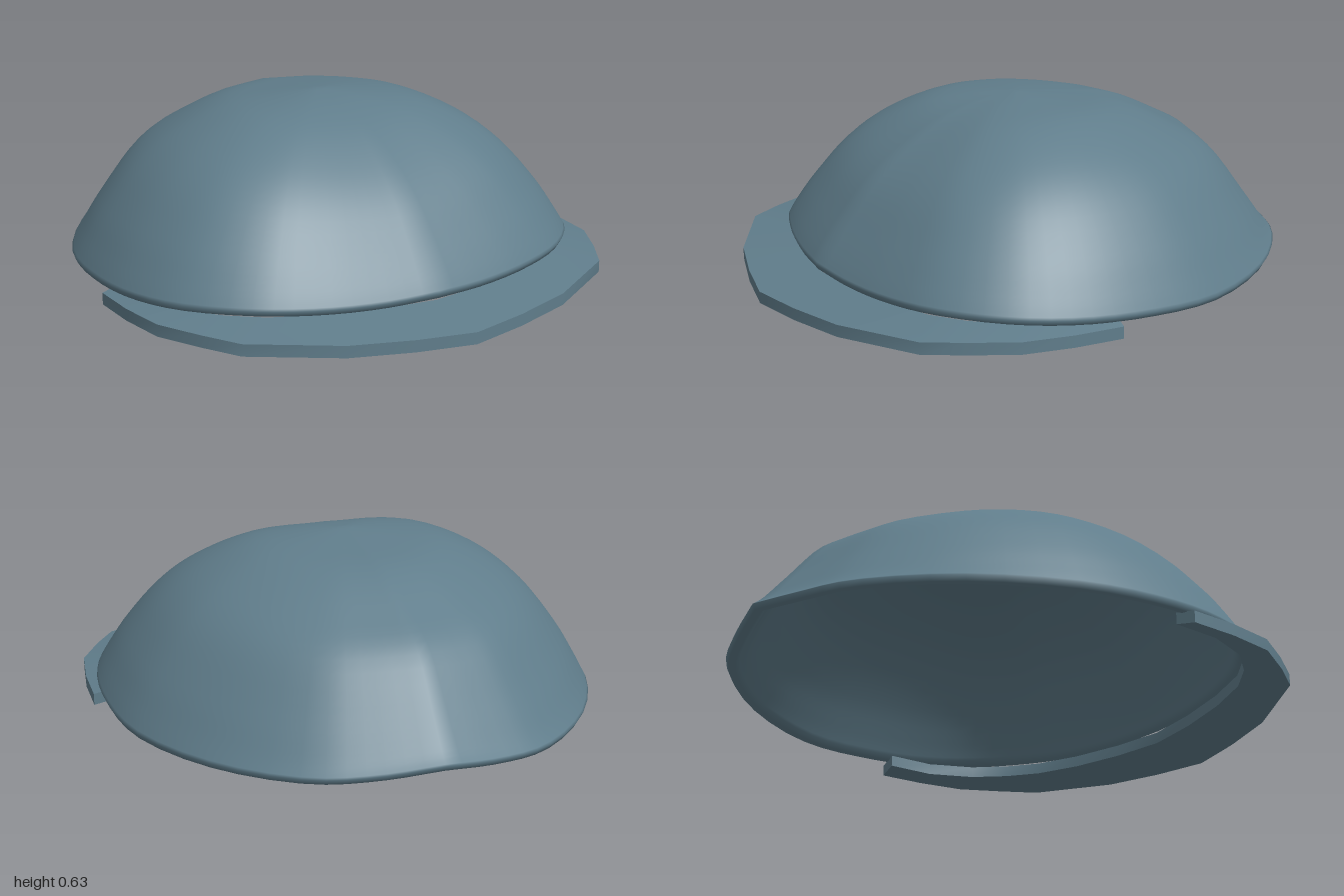
import * as THREE from 'three';
import { mergeVertices, toCreasedNormals } from 'three/addons/utils/BufferGeometryUtils.js';

const material = new THREE.MeshStandardMaterial({ color: 0x607d8b });

// Skins a grid of points; point(i, j) gives station i, section point j.
function loft(stations, points, point, closeI, closeJ, caps) {
  const pos = [], index = [];
  for (let i = 0; i < stations; i++)
    for (let j = 0; j < points; j++) pos.push(...point(i, j));
  const id = (i, j) => (i % stations) * points + (j % points);
  for (let i = 0; i < stations - (closeI ? 0 : 1); i++)
    for (let j = 0; j < points - (closeJ ? 0 : 1); j++) {
      const a = id(i, j), b = id(i + 1, j), c = id(i + 1, j + 1), d = id(i, j + 1);
      index.push(a, b, c, a, c, d);
    }
  if (caps) {
    const e = stations - 1;
    index.push(id(0, 0), id(0, 1), id(0, 2), id(0, 0), id(0, 2), id(0, 3));
    index.push(id(e, 0), id(e, 2), id(e, 1), id(e, 0), id(e, 3), id(e, 2));
  }
  const g = new THREE.BufferGeometry();
  g.setAttribute('position', new THREE.Float32BufferAttribute(pos, 3));
  g.setIndex(index);
  return g;
}

// Half of the shell rim, from back to front: x, y, z
const rim = new THREE.CatmullRomCurve3([
  [0, 0.115, -1], [0.2, 0.09, -0.955], [0.4, 0.075, -0.88], [0.66, 0.065, -0.64], [0.845, 0.065, -0.3],
  [0.89, 0.08, 0], [0.87, 0.095, 0.25], [0.79, 0.11, 0.46], [0.61, 0.115, 0.64],
  [0.41, 0.105, 0.72], [0.2, 0.1, 0.765], [0, 0.105, 0.79],
].map((p) => new THREE.Vector3(...p)));

// Relative dome height at each fraction of the radius, per direction
const radii = [0, 0.2, 0.4, 0.6, 0.75, 0.88, 0.96, 1];
const curveOf = (h) => new THREE.SplineCurve(radii.map((r, k) => new THREE.Vector2(r, h[k])));
const side = curveOf([1, 0.976, 0.927, 0.78, 0.59, 0.33, 0.12, 0]);
const front = curveOf([1, 0.96, 0.86, 0.68, 0.49, 0.255, 0.094, 0]);
const back = curveOf([1, 0.96, 0.9, 0.73, 0.56, 0.26, 0.07, 0]);

function buildShell() {
  const columns = 72, rows = 28, top = 0.633, wall = 0.035;
  const columnRim = [];
  for (let i = 0; i < columns; i++) {
    const half = columns / 2, mirrored = i > half;
    const p = rim.getPoint((mirrored ? columns - i : i) / half);
    if (mirrored) p.x *= -1;
    columnRim.push(p);
  }
  // Section runs over the outside, round the rim lip and back up the inside
  const point = (i, j) => {
    const p = columnRim[i];
    const at = (r, y) => [p.x * r, y, p.z * r];
    if (j === rows + 1) return at(0.99, p.y - 0.018);
    if (j === rows + 2) return at(0.965, p.y - 0.016);
    const inside = j > rows;
    const t = inside ? (2 * rows + 3 - j) / rows : j / rows;
    const s = side.getPoint(t), e = (p.z > 0 ? front : back).getPoint(t);
    const w = (p.x * p.x) / (p.x * p.x + p.z * p.z);
    const r = THREE.MathUtils.lerp(e.x, s.x, w), f = THREE.MathUtils.lerp(e.y, s.y, w);
    return inside
      ? at(r * 0.95, p.y + (top - wall - p.y) * f)
      : at(r, p.y + (top - p.y) * f);
  };
  const g = mergeVertices(loft(columns, 2 * rows + 4, point, true, false, false));
  g.computeVertexNormals();
  return g;
}

// Half of the brim, from the left end to the front: inner x, z, top y, outer x, z, top y
const brimHalf = [
  [0.835, 0.1, 0.08, 0.91, 0.11, 0.062],
  [0.83, 0.28, 0.082, 0.905, 0.29, 0.066],
  [0.77, 0.45, 0.088, 0.88, 0.47, 0.07],
  [0.68, 0.56, 0.09, 0.8, 0.62, 0.07],
  [0.57, 0.64, 0.088, 0.72, 0.745, 0.068],
  [0.4, 0.7, 0.082, 0.43, 0.9, 0.055],
  [0.2, 0.745, 0.078, 0.21, 0.96, 0.048],
  [0, 0.77, 0.076, 0, 1, 0.044],
];

function buildBrim() {
  const stations = [
    ...brimHalf,
    ...brimHalf.slice(0, -1).reverse().map(([a, b, c, d, e, f]) => [-a, b, c, -d, e, f]),
  ];
  const thick = 0.042;
  const point = (i, j) => {
    const [ix, iz, iy, ox, oz, oy] = stations[i];
    return [[ix, iy, iz], [ox, oy, oz], [ox, oy - thick, oz], [ix, iy - thick, iz]][j];
  };
  return toCreasedNormals(loft(stations.length, 4, point, false, true, true), 0.7);
}

export function createModel() {
  const model = new THREE.Group();
  const add = (name, geometry) => {
    const mesh = new THREE.Mesh(geometry, material);
    mesh.name = name;
    model.add(mesh);
  };
  add('capShell', buildShell());
  add('brim', buildBrim());
  return model;
}
